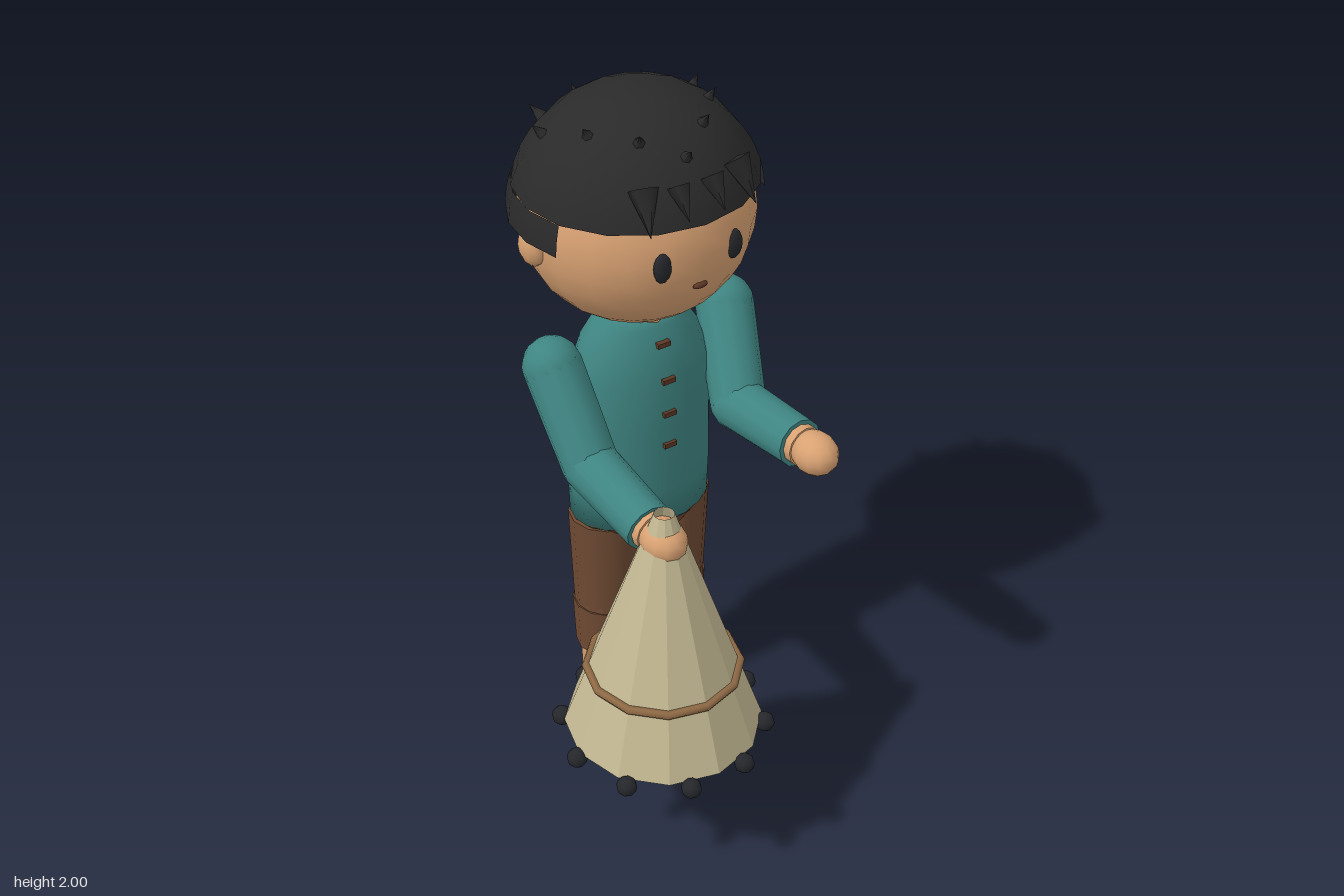
import * as THREE from 'three';

const mat = (name, color, extra = {}) => {
  const m = new THREE.MeshStandardMaterial({ color, ...extra });
  m.name = name;
  return m;
};

export function createModel() {
  const skin = mat('skin', 0xd9a273);
  const hair = mat('hair', 0x2a2a2a, { side: THREE.DoubleSide });
  const teal = mat('teal cloth', 0x3f8582);
  const brown = mat('brown cloth', 0x6e4a33);
  const straw = mat('straw', 0xc4b993, { side: THREE.DoubleSide, flatShading: true });
  const trim = mat('straw trim', 0x8f6a45);
  const dark = mat('dark beads', 0x25272b);
  const sole = mat('sandal leather', 0x3b2420);
  const buttonMat = mat('buttons and mouth', 0x5e3826);

  const model = new THREE.Group();
  model.name = 'boyWithStrawHat';
  const CX = 0.094, CZ = -0.21; // axis of the body
  const V = (x, y, z) => new THREE.Vector3(x, y, z);

  const add = (name, geo, m, x = 0, y = 0, z = 0, parent = model) => {
    const mesh = new THREE.Mesh(geo, m);
    mesh.name = name;
    mesh.position.set(x, y, z);
    parent.add(mesh);
    return mesh;
  };
  const ball = (name, m, p, rx, ry = rx, rz = rx, w = 16, h = 12) => {
    const mesh = add(name, new THREE.SphereGeometry(1, w, h), m, p.x, p.y, p.z);
    mesh.scale.set(rx, ry, rz);
    return mesh;
  };
  // tapered rod from a to b (tip radius 0 makes a spike)
  const rod = (name, m, a, b, ra, rb, sides = 12) => {
    const d = b.clone().sub(a);
    const mesh = add(name, new THREE.CylinderGeometry(rb, ra, d.length(), sides), m);
    mesh.position.copy(a).addScaledVector(d, 0.5);
    mesh.quaternion.setFromUnitVectors(V(0, 1, 0), d.normalize());
    return mesh;
  };

  // Head and face
  const HC = V(CX, 1.66, -0.217);
  ball('head', skin, HC, 0.312, 0.295, 0.302, 20, 16);
  rod('neck', skin, V(CX, 1.32, CZ), V(CX, 1.42, CZ), 0.09, 0.09);
  for (const s of [-1, 1]) {
    ball('ear', skin, V(CX + s * 0.306, 1.645, -0.222), 0.035, 0.058, 0.047, 12, 8);
    ball('eye', dark, V(CX + s * 0.106, 1.655, 0.062), 0.026, 0.042, 0.016, 12, 8);
  }
  ball('mouth', buttonMat, V(CX, 1.576, 0.072), 0.022, 0.009, 0.01, 10, 6);

  // Hair: cap, then a longer band round the sides, then the nape
  const deg = Math.PI / 180;
  const hairPart = (name, p0, p1, t0, t1, w, h) => {
    const g = new THREE.SphereGeometry(0.34, w, h, p0 * deg, (p1 - p0) * deg, t0 * deg, (t1 - t0) * deg);
    add(name, g, hair, HC.x, HC.y, HC.z).scale.z = 0.955;
  };
  hairPart('hairCap', 0, 360, 0, 73, 16, 8);
  hairPart('hairSides', 158, 382, 73, 87.5, 12, 2);
  hairPart('hairNape', 221, 319, 87.5, 102.5, 6, 2);

  // Small spikes standing out of the hair: offset x, offset z, height, length
  const tufts = [
    [0, 0.235, 0.25, 0.04], [0.094, 0.163, 0.285, 0.04], [0.18, 0.06, 0.285, 0.04],
    [0.225, -0.085, 0.24, 0.045], [0.155, -0.225, 0.215, 0.05],
    [0.11, -0.29, 0.16, 0.06], [0, -0.285, 0.19, 0.055], [0, -0.33, 0.042, 0.06],
  ];
  for (const [x, z, y, len] of tufts) {
    for (const s of x ? [-1, 1] : [1]) {
      const dir = V(s * x, y, z).normalize();
      const at = (r) => HC.clone().add(V(dir.x * r, dir.y * r, dir.z * r * 0.965));
      rod('hairSpike', hair, at(0.325), at(0.33 + len), 0.021, 0, 6);
    }
  }
  // Fringe
  for (const s of [-1, 1]) {
    rod('fringeSpike', hair, V(CX + s * 0.135, 1.865, 0.018), V(CX + s * 0.155, 1.765, 0.085), 0.04, 0, 5);
    rod('fringeSpike', hair, V(CX + s * 0.047, 1.86, 0.045), V(CX + s * 0.052, 1.785, 0.1), 0.032, 0, 5);
  }

  // Shirt
  const profile = [[0, 0.735], [0.208, 0.735], [0.212, 0.85], [0.21, 1.05], [0.2, 1.2],
    [0.17, 1.29], [0.135, 1.345], [0.115, 1.37], [0, 1.37]];
  const shirt = new THREE.LatheGeometry(profile.map(([r, y]) => new THREE.Vector2(r, y)), 20);
  add('shirt', shirt, teal, CX, 0, CZ).scale.z = 0.715;
  [[1.305, 0.163], [1.205, 0.199], [1.102, 0.206], [1.002, 0.21]].forEach(([y, r]) =>
    add('button', new THREE.BoxGeometry(0.038, 0.014, 0.018), buttonMat, CX, y, CZ + r * 0.715));

  // Trousers, legs and sandals
  add('hips', new THREE.CylinderGeometry(0.21, 0.15, 0.075, 16), brown, CX, 0.7, CZ).scale.z = 0.715;
  for (const s of [-1, 1]) {
    const x = CX + s * 0.109, fx = CX + s * 0.115;
    rod('thigh', brown, V(x, 0.42, CZ), V(x, 0.73, CZ), 0.094, 0.106);
    ball('knee', brown, V(x, 0.42, CZ), 0.094);
    rod('trouserLeg', brown, V(x, 0.26, CZ), V(x, 0.42, CZ), 0.092, 0.099);
    rod('shin', skin, V(fx, 0.085, CZ), V(fx, 0.3, CZ), 0.068, 0.074);
    ball('foot', skin, V(fx, 0.047, -0.168), 0.06, 0.021, 0.095);
    add('sandalSole', new THREE.BoxGeometry(0.116, 0.02, 0.205), sole, fx, 0.012, -0.168);
    add('sandalStrap', new THREE.BoxGeometry(0.118, 0.02, 0.038), sole, fx, 0.047, -0.135);
    add('sandalToeStrap', new THREE.BoxGeometry(0.018, 0.025, 0.05), sole, fx, 0.047, -0.1);
  }

  // Arms: shoulder, elbow, wrist, hand centre
  const arms = [
    [V(0.365, 1.28, -0.2), V(0.3, 1.07, -0.035), V(0.313, 1.09, 0.225), V(0.317, 1.095, 0.285)],
    [V(-0.18, 1.28, -0.2), V(-0.172, 1.06, -0.035), V(-0.162, 1.02, 0.23), V(-0.159, 1.02, 0.29)],
  ];
  for (const [shoulder, elbow, wrist, hand] of arms) {
    ball('shoulder', teal, shoulder, 0.08, 0.08, 0.08, 14, 10);
    rod('upperArm', teal, elbow, shoulder, 0.076, 0.08);
    ball('elbow', teal, elbow, 0.076, 0.076, 0.076, 14, 10);
    rod('sleeve', teal, elbow, wrist, 0.075, 0.068);
    rod('wrist', skin, wrist, wrist.clone().lerp(hand, 0.4), 0.056, 0.056);
    ball('hand', skin, hand, 0.06, 0.058, 0.071, 12, 10);
  }

  // Straw hat held by its tip, open at both ends
  const hat = new THREE.Group();
  hat.name = 'strawHat';
  hat.position.set(-0.159, 0, 0.293);
  model.add(hat);
  add('hatCone', new THREE.CylinderGeometry(0.027, 0.265, 0.69, 12, 1, true), straw, 0, 0.762, 0, hat);
  const band = add('hatBand', new THREE.TorusGeometry(0.203, 0.012, 6, 12), trim, 0, 0.607, 0, hat);
  band.rotation.x = Math.PI / 2;
  for (let i = 0; i < 10; i++) {
    const a = (i / 10) * Math.PI * 2;
    add('hatBead', new THREE.SphereGeometry(0.028, 8, 6), dark,
      Math.cos(a) * 0.272, 0.405, Math.sin(a) * 0.272, hat);
  }
  return model;
}
